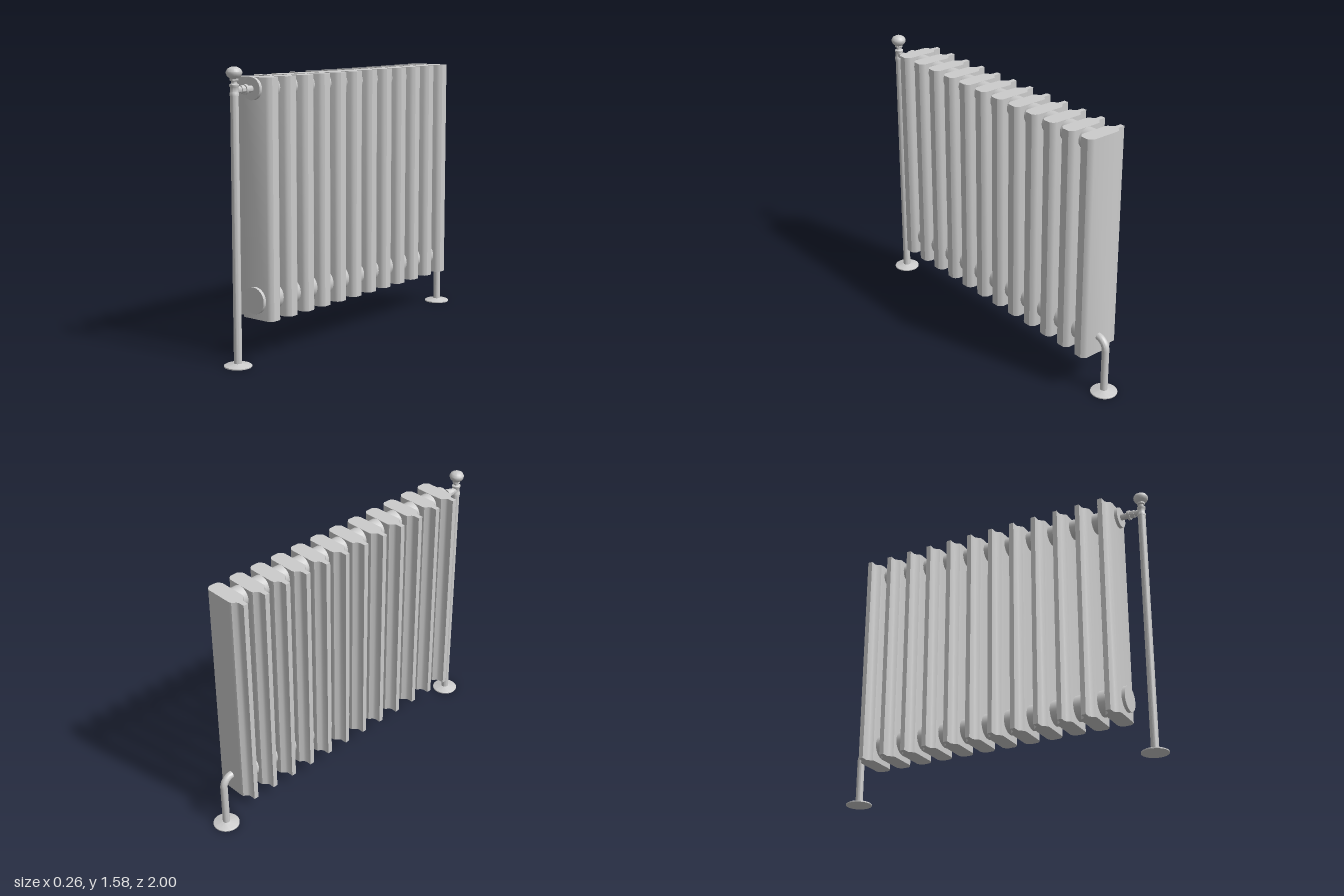
import * as THREE from 'three';
import { toCreasedNormals } from 'three/addons/utils/BufferGeometryUtils.js';

const AXIS_X = 0.022; // line of hubs and pipes
const TOP_Y = 1.455, LOW_Y = 0.33;
const PIPE_Z = 0.925;

export function createModel() {
  const root = new THREE.Group();
  root.name = 'radiator';
  const mat = new THREE.MeshStandardMaterial({ color: 0xcccccc });

  const add = (parent, name, geo, x = 0, y = 0, z = 0) => {
    const mesh = new THREE.Mesh(toCreasedNormals(geo, 0.6), mat);
    mesh.name = name;
    mesh.position.set(x, y, z);
    parent.add(mesh);
    return mesh;
  };
  const lathe = (pts, seg = 24) =>
    new THREE.LatheGeometry(pts.map(p => new THREE.Vector2(...p)), seg);
  const rodZ = (r, z0, z1, seg = 24) =>
    new THREE.CylinderGeometry(r, r, z1 - z0, seg).rotateX(Math.PI / 2).translate(0, 0, (z0 + z1) / 2);

  // Column section: thin fin on the right, chamfered body on the left
  const half = [[0.131, 0.022], [0.121, 0.036], [0.105, 0.046], [-0.055, 0.046],
    [-0.069, 0.042], [-0.084, 0.022], [-0.096, 0.014], [-0.133, 0.014]];
  const outline = [...half, ...half.map(([x, z]) => [x, -z]).reverse()];
  const columnGeo = new THREE.ExtrudeGeometry(
    new THREE.Shape(outline.map(p => new THREE.Vector2(...p))),
    { depth: 1.29, bevelEnabled: false }
  ).rotateX(-Math.PI / 2);

  const columns = new THREE.Group();
  columns.name = 'columns';
  root.add(columns);
  for (let i = 0; i < 12; i++) add(columns, 'column', columnGeo, 0, 0.225, 0.735 - i * 0.1414);

  // Hubs joining the columns
  add(root, 'upperHub', rodZ(0.06, -0.82, 0.8), AXIS_X, TOP_Y);
  add(root, 'lowerHub', rodZ(0.073, -0.82, 0.8), AXIS_X, LOW_Y);

  // Floor flanges
  const flange = lathe([[0, 0], [0.075, 0], [0.075, 0.006], [0.068, 0.01], [0.032, 0.012], [0.022, 0.018], [0, 0.018]], 32);
  for (const z of [PIPE_Z, -PIPE_Z]) add(root, 'floorFlange', flange, AXIS_X, 0, z);

  // Supply pipe with valve body, neck and knob
  add(root, 'supplyPipe', new THREE.CylinderGeometry(0.022, 0.022, 1.43, 20), AXIS_X, 0.715, PIPE_Z);
  add(root, 'valveBody', lathe([[0, 1.425], [0.025, 1.425], [0.025, 1.438], [0.021, 1.446], [0.021, 1.468],
    [0.025, 1.475], [0.025, 1.484], [0.015, 1.49], [0.015, 1.5], [0.022, 1.504], [0.022, 1.514], [0, 1.514]]), AXIS_X, 0, PIPE_Z);
  add(root, 'valveKnob', lathe([[0, 1.512], [0.022, 1.514], [0.036, 1.526], [0.042, 1.54], [0.042, 1.55],
    [0.034, 1.564], [0.018, 1.573], [0, 1.575]], 16), AXIS_X, 0, PIPE_Z);

  // Short branch into the upper hub, with union nut
  add(root, 'valveBranch', rodZ(0.018, 0.79, PIPE_Z), AXIS_X, TOP_Y);
  add(root, 'unionNut', rodZ(0.028, 0.842, 0.858, 12), AXIS_X, TOP_Y);
  add(root, 'branchCollar', rodZ(0.022, 0.858, 0.885), AXIS_X, TOP_Y);

  // Return pipe: rises from the floor and bends into the last column
  const bend = new THREE.CurvePath();
  const v = (y, z) => new THREE.Vector3(AXIS_X, y, z);
  bend.add(new THREE.LineCurve3(v(0, -PIPE_Z), v(0.27, -PIPE_Z)));
  bend.add(new THREE.CubicBezierCurve3(v(0.27, -PIPE_Z), v(0.302, -PIPE_Z), v(LOW_Y, -0.898), v(LOW_Y, -0.866)));
  bend.add(new THREE.LineCurve3(v(LOW_Y, -0.866), v(LOW_Y, -0.83)));
  add(root, 'returnPipe', new THREE.TubeGeometry(bend, 60, 0.021, 20));

  return root;
}
